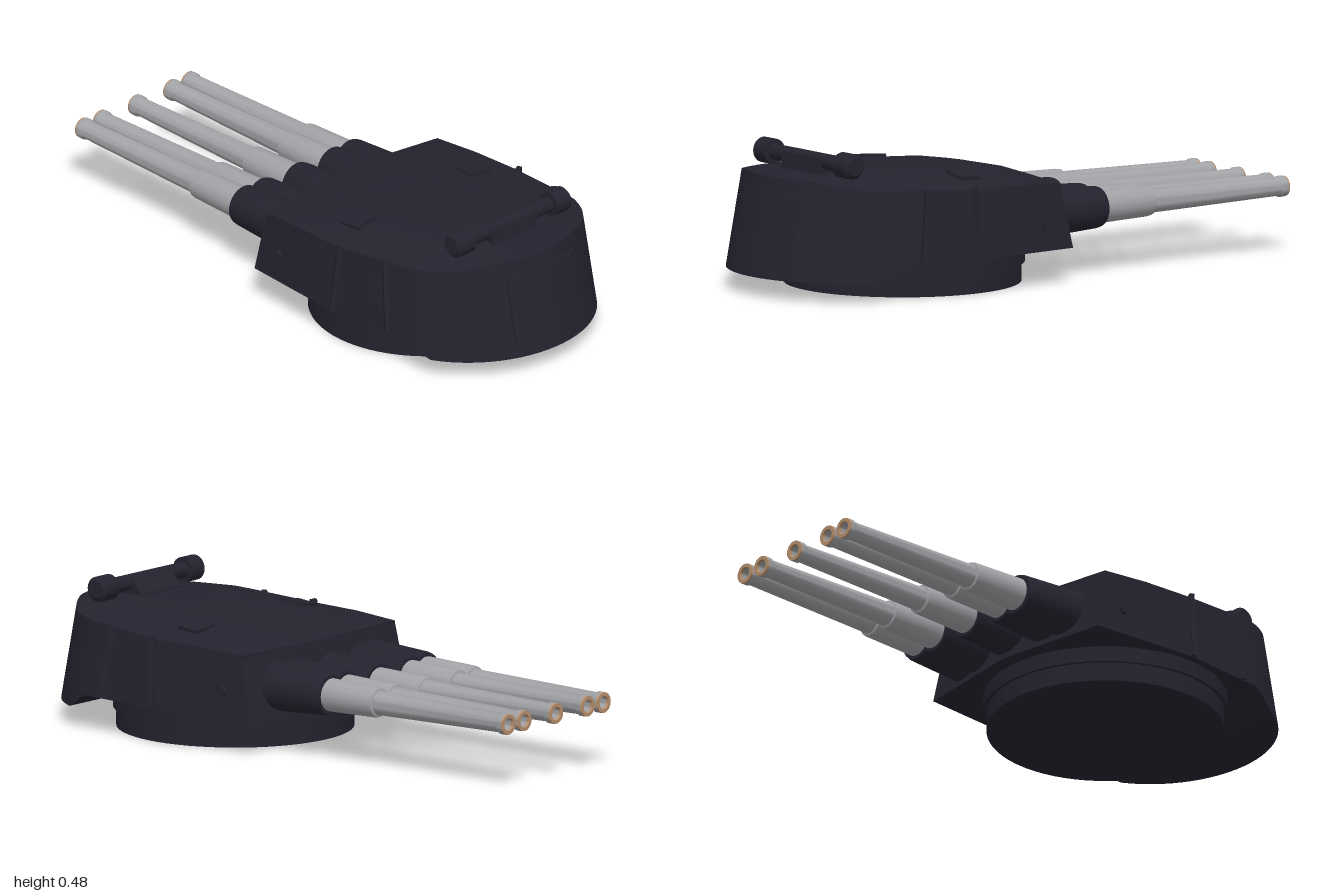
import * as THREE from 'three';
import { toCreasedNormals } from 'three/addons/utils/BufferGeometryUtils.js';

const lerp = THREE.MathUtils.lerp;
const armour = new THREE.MeshStandardMaterial({ name: 'dark armour', color: 0x23232f });
const steel = new THREE.MeshStandardMaterial({ name: 'gun steel', color: 0xa0a2a5 });
const brass = new THREE.MeshStandardMaterial({ name: 'muzzle brass', color: 0xb8916f });

// Roof height: crowned along z and falling away towards the sides
function roofY(x, z) {
  const pts = [[-0.05, 0.338], [0.2, 0.372], [0.45, 0.395], [0.7, 0.404], [0.95, 0.392]];
  let i = 0;
  while (i < 3 && z > pts[i + 1][0]) i++;
  const [a, b] = [pts[i], pts[i + 1]];
  const crown = lerp(a[1], b[1], (z - a[0]) / (b[0] - a[0]));
  const drop = lerp(0.012, 0.04, Math.min(1, Math.max(0, z / 0.4)));
  return crown - drop * Math.max(0, (Math.abs(x) - 0.18) / 0.2);
}

// Half outline, front to rear: [bottom x, bottom z, top x, top z]
function outline() {
  const list = [[0, -0.07, 0, -0.02], [0.4, -0.015, 0.388, 0.03],
    [0.415, 0.18, 0.397, 0.2], [0.43, 0.38, 0.405, 0.38]];
  for (let i = 0; i <= 18; i++) {
    const a = (i / 18) * Math.PI / 2;
    const c = i === 18 ? 0 : Math.cos(a), s = Math.sin(a);
    list.push([0.405 * c, 0.63 + 0.37 * s, 0.378 * c, 0.62 + 0.315 * s]);
  }
  return list;
}

function hullGeometry() {
  const pos = [];
  const tri = (a, b, c) => {
    const area = b.clone().sub(a).cross(c.clone().sub(a)).length();
    if (area > 1e-8) for (const p of [a, b, c]) pos.push(p.x, p.y, p.z);
  };
  const quad = (a, b, c, d) => { tri(a, b, c); tri(a, c, d); };
  const st = outline();
  // The underside steps down behind the turning ring
  const bottom = (s, u) => new THREE.Vector3(s[0] * u, lerp(0.118, 0.065, THREE.MathUtils.clamp((s[1] - 0.7) / 0.08, 0, 1)), s[1]);
  const top = (s, u) => new THREE.Vector3(s[2] * u, roofY(s[2] * u, s[3]), s[3]);
  const n = 10;
  for (let i = 0; i < st.length - 1; i++) {
    const [p, q] = [st[i], st[i + 1]];
    quad(bottom(p, 1), top(p, 1), top(q, 1), bottom(q, 1));
    quad(bottom(p, -1), bottom(q, -1), top(q, -1), top(p, -1));
    quad(bottom(p, -1), bottom(p, 1), bottom(q, 1), bottom(q, -1));
    for (let k = 0; k < n; k++) {
      const u = -1 + 2 * k / n, v = -1 + 2 * (k + 1) / n;
      quad(top(p, u), top(q, u), top(q, v), top(p, v));
    }
  }
  const g = new THREE.BufferGeometry();
  g.setAttribute('position', new THREE.Float32BufferAttribute(pos, 3));
  return toCreasedNormals(g, 0.4);
}

// Profile of [radius, distance towards the muzzle], turned about the gun axis
function turned(profile, segments = 28) {
  const g = new THREE.LatheGeometry(profile.map(p => new THREE.Vector2(p[0], p[1])), segments);
  g.rotateX(-Math.PI / 2);
  return toCreasedNormals(g, 0.5);
}

// Curved door following the sloping rear wall
function doorGeometry() {
  const g = new THREE.BoxGeometry(0.305, 0.235, 0.016, 14, 1, 1);
  const p = g.attributes.position;
  for (let i = 0; i < p.count; i++) {
    const x = p.getX(i), y = p.getY(i) + 0.2275;
    const f = (y - 0.065) / 0.325;
    const rx = lerp(0.405, 0.378, f);
    const z = lerp(0.63, 0.62, f) + lerp(0.37, 0.315, f) * Math.sqrt(1 - (x / rx) ** 2);
    p.setXYZ(i, x, y, z + p.getZ(i));
  }
  g.computeVertexNormals();
  return g;
}

export function createModel() {
  const root = new THREE.Group();
  root.name = 'gunTurret';
  const add = (name, geometry, material, x = 0, y = 0, z = 0, parent = root) => {
    const m = new THREE.Mesh(geometry, material);
    m.name = name;
    m.position.set(x, y, z);
    parent.add(m);
    return m;
  };
  // Bar stretched between two points
  const bar = (name, a, b, w, d) => {
    const [p, q] = [new THREE.Vector3(...a), new THREE.Vector3(...b)];
    const mid = p.clone().add(q).multiplyScalar(0.5);
    const m = add(name, new THREE.BoxGeometry(w, d, p.distanceTo(q)), armour, mid.x, mid.y, mid.z);
    m.lookAt(q);
    return m;
  };

  // Base, ring and hull
  add('baseDrum', new THREE.CylinderGeometry(0.391, 0.391, 0.066, 64), armour, 0, 0.033, 0.385);
  add('turningRing', new THREE.CylinderGeometry(0.402, 0.402, 0.055, 64), armour, 0, 0.0925, 0.385);
  add('hull', hullGeometry(), armour);
  add('rearDoor', doorGeometry(), armour);

  // Details on both sides
  for (const s of [-1, 1]) {
    bar('sideStrip', [s * 0.43, 0.12, 0.385], [s * 0.405, 0.355, 0.395], 0.016, 0.02);
    bar('sideStrip', [s * 0.407, 0.12, 0.622], [s * 0.382, 0.362, 0.585], 0.016, 0.02);
    bar('roofLip', [0, 0.332, -0.012], [s * 0.388, 0.324, 0.036], 0.016, 0.02);
    const boss = add('sideBoss', new THREE.CylinderGeometry(0.018, 0.018, 0.02, 16), armour, s * 0.402, 0.21, 0.1);
    boss.rotation.z = Math.PI / 2;
    const hatch = add('roofHatch', new THREE.BoxGeometry(0.085, 0.016, 0.085), armour,
      s * 0.26, roofY(0.26, 0.33) + 0.003, 0.33);
    hatch.rotation.set(-0.09, 0, -s * 0.17);
  }

  // Rangefinder
  const finder = new THREE.Group();
  finder.name = 'rangefinder';
  finder.position.set(0, 0.438, 0.77);
  root.add(finder);
  const tube = add('rangefinderTube', new THREE.CylinderGeometry(0.026, 0.026, 0.4, 24), armour, 0, 0, 0, finder);
  tube.rotation.z = Math.PI / 2;
  const capGeometry = turned([[0, 0], [0.042, 0], [0.042, 0.062], [0.03, 0.073], [0, 0.073]], 24);
  for (const s of [-1, 1]) {
    const cap = add('rangefinderEnd', capGeometry, armour, s * 0.184, 0, 0, finder);
    cap.rotation.y = -s * Math.PI / 2;
  }
  const wedge = new THREE.Shape();
  wedge.moveTo(-0.04, -0.06);
  wedge.lineTo(0.07, -0.06);
  wedge.lineTo(0.07, -0.03);
  wedge.lineTo(0.02, 0.015);
  wedge.lineTo(-0.03, 0.015);
  wedge.closePath();
  const bracket = add('rangefinderBracket',
    new THREE.ExtrudeGeometry(wedge, { depth: 0.2, bevelEnabled: false }), armour, -0.1, 0, 0, finder);
  bracket.rotation.y = Math.PI / 2;

  // Five guns: an outer pair on each side and one in the middle
  const sleeve = turned([[0.083, -0.1], [0.08, 0.03], [0.07, 0.22], [0.066, 0.235], [0, 0.235]]);
  const barrel = turned([[0.055, 0.2], [0.055, 0.24], [0.05, 0.43], [0.048, 0.442], [0.04, 0.445],
    [0.0305, 0.965], [0.035, 0.975], [0.035, 0.994]]);
  const rim = turned([[0.035, 0.994], [0.034, 1], [0.022, 1], [0.021, 0.99]]);
  const bore = turned([[0.021, 0.99], [0.021, 0.95], [0, 0.95]]);
  for (const x of [-0.24, -0.16, 0, 0.16, 0.24]) {
    const gun = new THREE.Group();
    gun.name = 'gun';
    gun.position.set(x, 0.216, 0);
    root.add(gun);
    add('gunSleeve', sleeve, armour, 0, 0, 0, gun);
    add('gunBarrel', barrel, steel, 0, 0, 0, gun);
    add('muzzleRim', rim, brass, 0, 0, 0, gun);
    add('gunBore', bore, steel, 0, 0, 0, gun);
  }
  return root;
}
